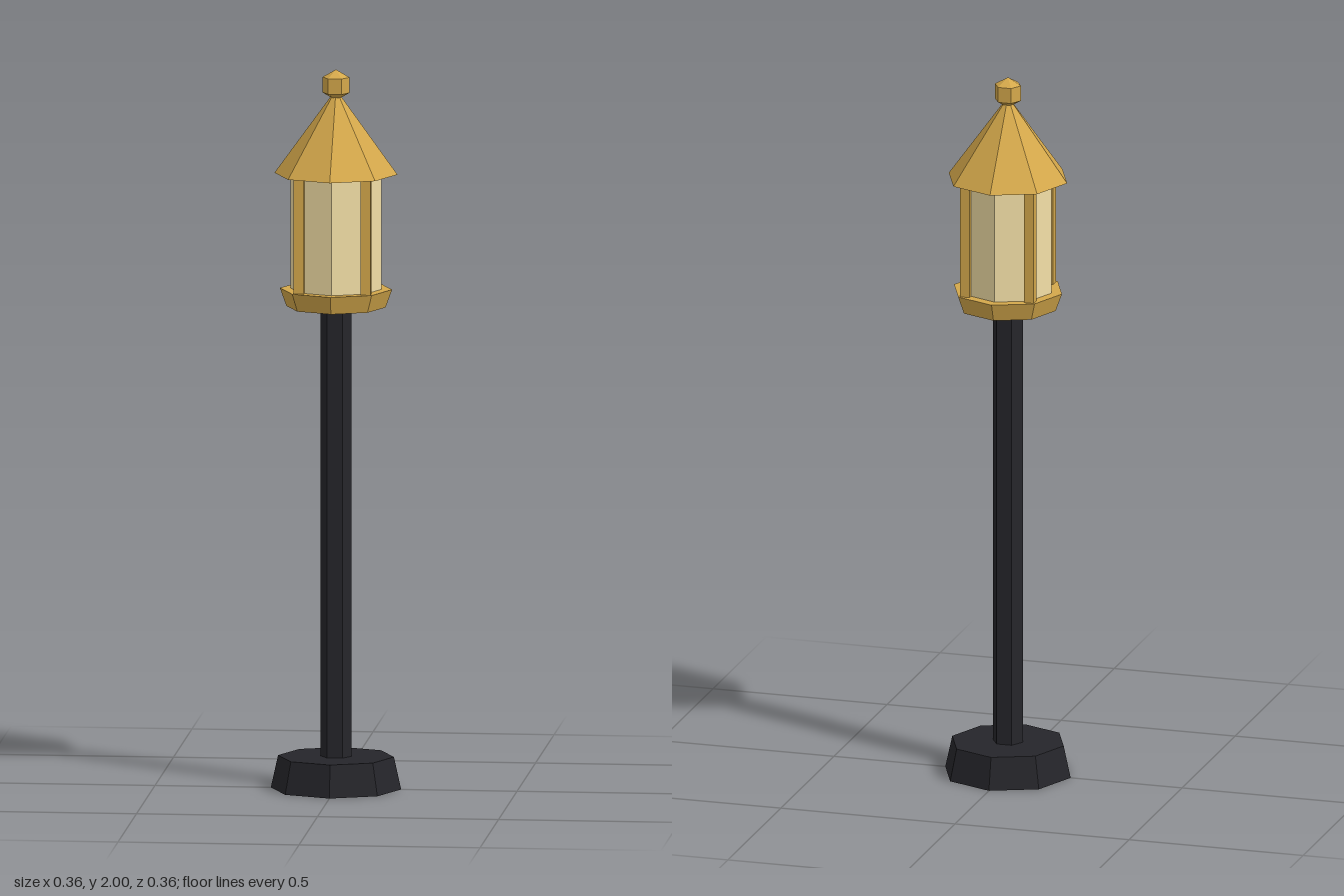
import * as THREE from 'three';

const mat = (color) => new THREE.MeshStandardMaterial({ color, flatShading: true });

export function createModel() {
  const group = new THREE.Group();
  const iron = mat(0x25252a);
  const brass = mat(0xd4a84b);
  const glass = mat(0xf3dfa6);

  const add = (name, geometry, material, x, y, z) => {
    const mesh = new THREE.Mesh(geometry, material);
    mesh.name = name;
    mesh.position.set(x, y, z);
    group.add(mesh);
    return mesh;
  };
  // Prism or frustum standing between two heights
  const prism = (name, rTop, rBottom, y0, y1, sides, material) =>
    add(name, new THREE.CylinderGeometry(rTop, rBottom, y1 - y0, sides), material, 0, (y0 + y1) / 2, 0);

  // Foot and hexagonal post (corners pointing to the sides)
  prism('base', 0.16, 0.18, 0, 0.09, 8, iron);
  prism('pole', 0.0427, 0.0427, 0.09, 1.34, 6, iron).rotation.y = Math.PI / 2;

  // Lantern: flared tray, glass, corner bars
  prism('lanternTray', 0.155, 0.137, 1.34, 1.39, 8, brass);
  prism('glass', 0.125, 0.125, 1.39, 1.71, 8, glass);
  for (const x of [-1, 1]) {
    for (const z of [-1, 1]) {
      add('cornerBar', new THREE.BoxGeometry(0.028, 0.32, 0.028), brass, x * 0.092, 1.55, z * 0.092);
    }
  }

  // Pointed roof and faceted finial
  add('roof', new THREE.ConeGeometry(0.17, 0.235, 8), brass, 0, 1.8275, 0);
  add('finial', new THREE.SphereGeometry(0.043, 6, 3), brass, 0, 1.957, 0);

  return group;
}
